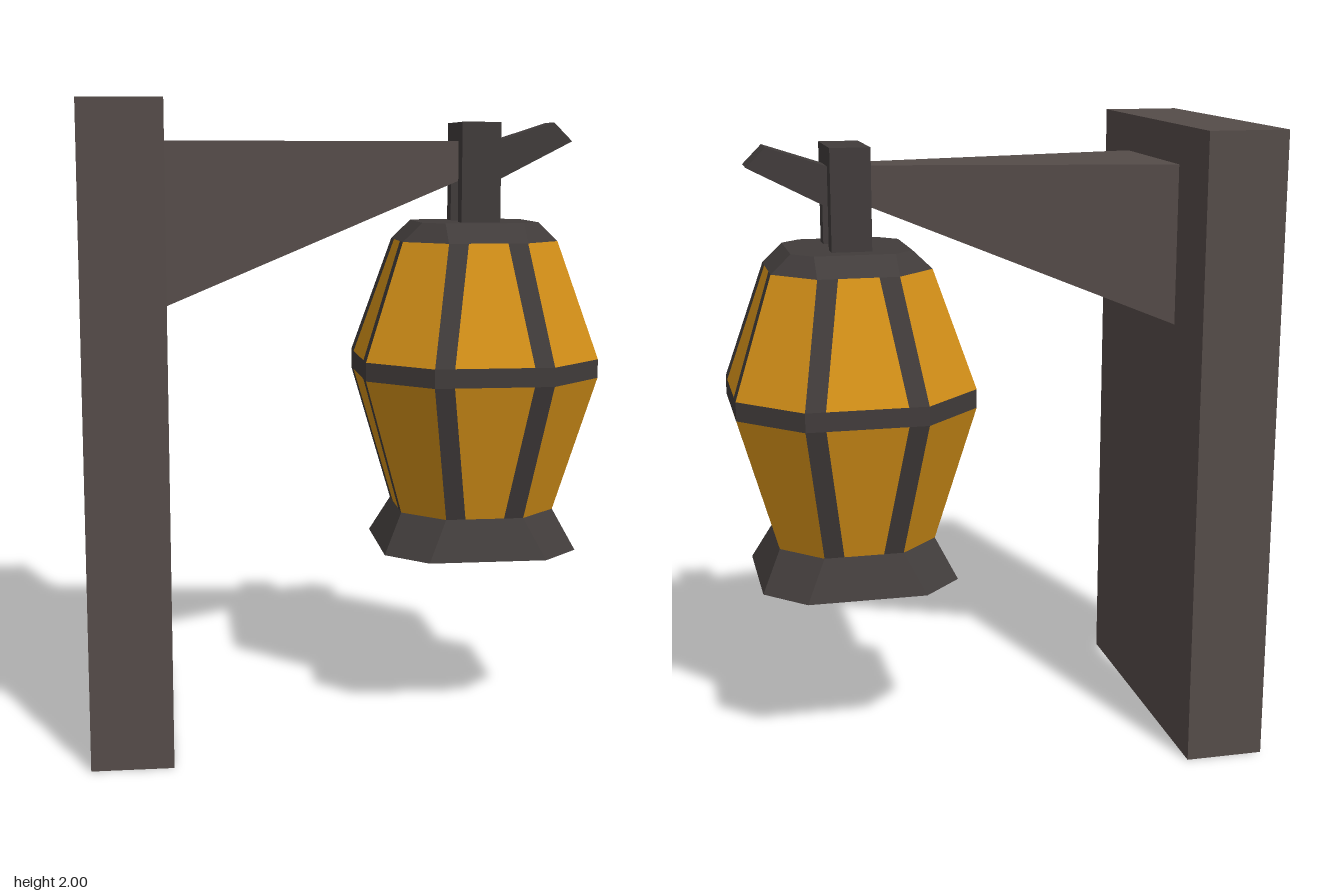
import * as THREE from 'three';

const material = (color) =>
  new THREE.MeshStandardMaterial({ color, flatShading: true, side: THREE.DoubleSide });

// Mesh from four-cornered faces, corners anticlockwise seen from outside
function quadMesh(name, quads, mat) {
  const pos = [];
  for (const [a, b, c, d] of quads) pos.push(...a, ...b, ...c, ...a, ...c, ...d);
  const geo = new THREE.BufferGeometry();
  geo.setAttribute('position', new THREE.Float32BufferAttribute(pos, 3));
  geo.computeVertexNormals();
  const mesh = new THREE.Mesh(geo, mat);
  mesh.name = name;
  return mesh;
}

// Rectangular cross-section on the x axis: [bottom near, top near, top far, bottom far]
const section = (x, y0, y1, w, xTop = x) =>
  [[x, y0, w], [xTop, y1, w], [xTop, y1, -w], [x, y0, -w]];

// Near, top and far walls between two sections, plus the underside if wanted
function walls(a, b, underside) {
  const quads = [];
  for (let i = 0; i < (underside ? 4 : 3); i++) {
    const j = (i + 1) % 4;
    quads.push([a[i], b[i], b[j], a[j]]);
  }
  return quads;
}

export function createModel() {
  const model = new THREE.Group();
  const wood = material(0x554c49);
  const iron = material(0x413c3b);
  const amber = material(0xd49018);

  // Wall board: open at the back and underneath
  const back = section(-0.8125, 0, 2, 0.5);
  const front = section(-0.5625, 0, 2, 0.5);
  model.add(quadMesh('wallBoard',
    [...walls(back, front, false), [front[0], front[3], front[2], front[1]]], wood));

  // Tapered bracket arm, open underneath
  const root = section(-0.5625, 1.38, 1.88, 0.25);
  const neck = section(0.375, 1.755, 1.88, 0.0625);
  model.add(quadMesh('bracketArm', walls(root, neck, false), wood));

  // Hook through the yoke, bent upward to its tip
  const bend = section(0.5, 1.755, 1.88, 0.0625);
  const tip = section(0.745, 1.88, 1.94, 0.0625, 0.685);
  model.add(quadMesh('hook', [
    ...walls(neck, bend, true),
    ...walls(bend, tip, true),
    [tip[0], tip[3], tip[2], tip[1]],
  ], iron));

  // Lantern, centred on its own axis
  const lantern = new THREE.Group();
  lantern.name = 'lantern';
  lantern.position.x = 0.4375;
  model.add(lantern);

  // Yoke: two legs and a top bar
  const yoke = new THREE.Group();
  yoke.name = 'yoke';
  const addBox = (name, h, d, y, z) => {
    const box = new THREE.Mesh(new THREE.BoxGeometry(0.125, h, d), iron);
    box.name = name;
    box.position.set(0, y, z);
    yoke.add(box);
  };
  for (const s of [-1, 1]) addBox('yokeLeg', 0.255, 0.0625, 1.7525, s * 0.09375);
  addBox('yokeBar', 0.06, 0.25, 1.91, 0);
  lantern.add(yoke);

  // Rings of the eight-sided body: height, half width r, half length c of the flat side
  const ring = (y, r, c) => ({ y, r, c });
  const rim = ring(0.565, 0.3125, 0.1875);
  const foot = ring(0.69, 0.25, 0.125);
  const beltLow = ring(1.13, 0.375, 0.1875);
  const beltHigh = ring(1.19, 0.375, 0.1875);
  const shoulder = ring(1.565, 0.25, 0.125);
  const crown = ring(1.625, 0.1875, 0.125);

  // Point on flat side k, u along the side
  const point = ({ y, r }, k, u) => {
    const [c, s] = [[1, 0], [0, 1], [-1, 0], [0, -1]][k % 4];
    return [u * c + r * s, y, r * c - u * s];
  };
  // Face on flat side k, between insets from its left and right ends
  const flat = (lo, hi, k, ends) => {
    const [l, r] = ends;
    return [point(lo, k, l(lo)), point(lo, k, r(lo)), point(hi, k, r(hi)), point(hi, k, l(hi))];
  };
  const left = (g) => -g.c, right = (g) => g.c;
  const innerLeft = (g) => -g.c + 0.0625, innerRight = (g) => g.c - 0.0625;
  const chamfer = (lo, hi, k) => [
    point(lo, k, lo.c), point(lo, k + 1, -lo.c), point(hi, k + 1, -hi.c), point(hi, k, hi.c)];

  // Solid iron bands
  const band = (name, lo, hi) => {
    const quads = [];
    for (let k = 0; k < 4; k++) quads.push(flat(lo, hi, k, [left, right]), chamfer(lo, hi, k));
    lantern.add(quadMesh(name, quads, iron));
  };
  band('flaredBase', rim, foot);
  band('middleBand', beltLow, beltHigh);
  band('roofSlope', shoulder, crown);

  // Glass panes with iron strips at the ends of each flat side
  const glazing = (name, lo, hi) => {
    const panes = [], strips = [];
    for (let k = 0; k < 4; k++) {
      panes.push(flat(lo, hi, k, [innerLeft, innerRight]), chamfer(lo, hi, k));
      strips.push(flat(lo, hi, k, [left, innerLeft]), flat(lo, hi, k, [innerRight, right]));
    }
    lantern.add(quadMesh(name + 'Glass', panes, amber), quadMesh(name + 'Strips', strips, iron));
  };
  glazing('lower', foot, beltLow);
  glazing('upper', beltHigh, shoulder);

  // Flat roof: centre strip and two trapezoids
  const P = (k, u) => point(crown, k, u);
  const c = crown.c;
  lantern.add(quadMesh('roofTop', [
    [P(0, -c), P(0, c), P(2, -c), P(2, c)],
    [P(0, c), P(1, -c), P(1, c), P(2, -c)],
    [P(2, c), P(3, -c), P(3, c), P(0, -c)],
  ], iron));

  return model;
}
